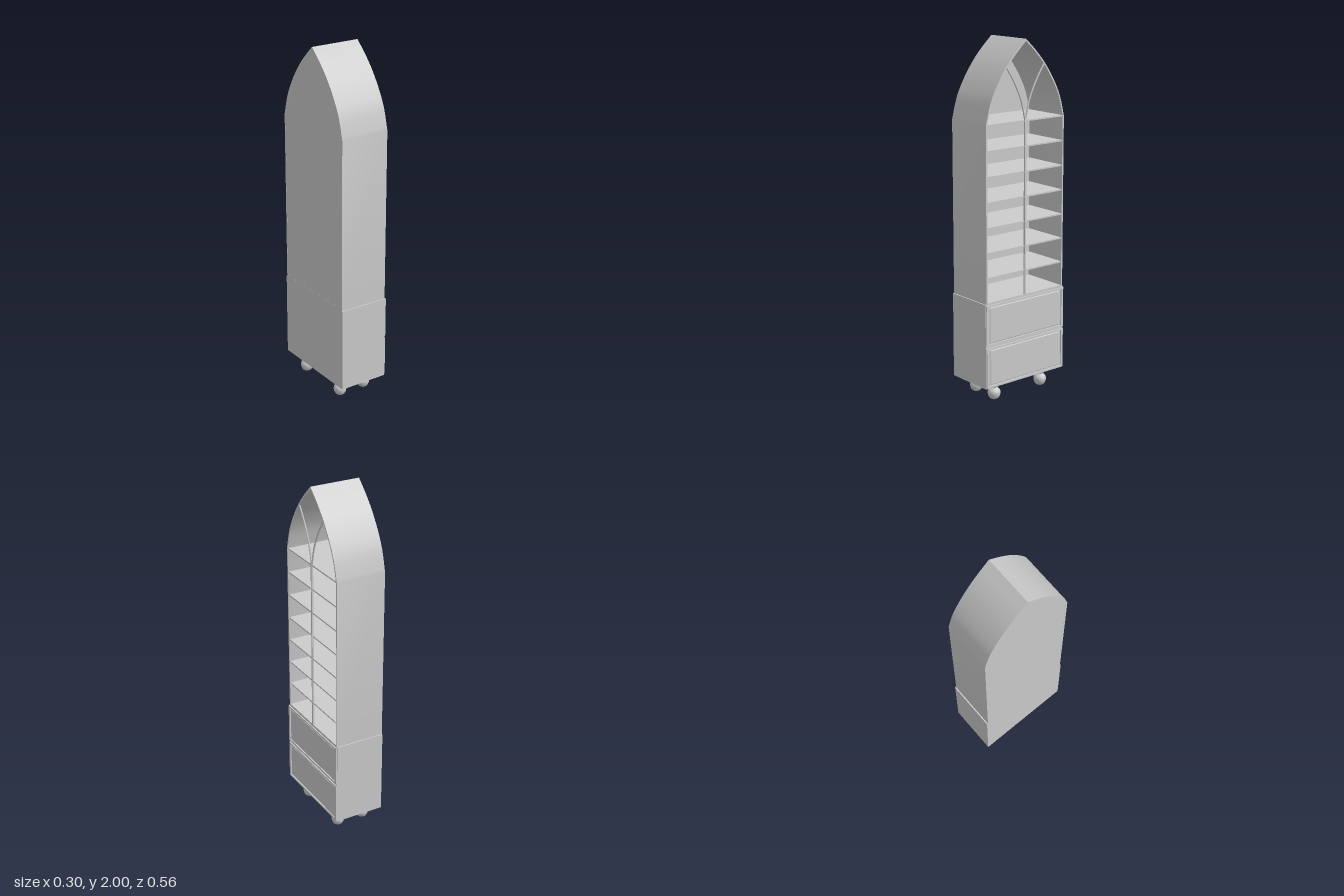
import * as THREE from 'three';
import { toCreasedNormals } from 'three/addons/utils/BufferGeometryUtils.js';

const BACK = -0.15, FRONT = 0.14, BASE_TOP = 0.585, SPRING = 1.565;

// Half of the pointed arch, from the springing line to the apex
const archPoints = [[0.275, SPRING], [0.243, 1.68], [0.195, 1.775], [0.133, 1.865], [0.07, 1.935], [0, 2]]
  .map(([z, y]) => new THREE.Vector2(z, y));
const arch = new THREE.SplineCurve(archPoints).getPoints(20);

// Arched outline, inset by t on every side
function outline(t, Type = THREE.Shape) {
  const k = (0.275 - t) / 0.275;
  const side = arch.map(p => new THREE.Vector2(p.x * k, p.y - t * 1.3 * (p.y - SPRING) / 0.435));
  const mirrored = side.slice(0, -1).reverse().map(p => new THREE.Vector2(-p.x, p.y));
  return new Type([
    new THREE.Vector2(-0.275 + t, BASE_TOP + t),
    new THREE.Vector2(0.275 - t, BASE_TOP + t),
    ...side, ...mirrored,
  ]);
}

export function createModel() {
  const group = new THREE.Group();
  const material = new THREE.MeshStandardMaterial({ color: 0xcccccc });

  function add(name, geometry, x = 0, y = 0, z = 0, parent = group) {
    const mesh = new THREE.Mesh(geometry, material);
    mesh.name = name;
    mesh.position.set(x, y, z);
    parent.add(mesh);
    return mesh;
  }
  // Box given by its x, y and z ranges
  function box(name, x0, x1, y0, y1, z0, z1) {
    return add(name, new THREE.BoxGeometry(x1 - x0, y1 - y0, z1 - z0),
      (x0 + x1) / 2, (y0 + y1) / 2, (z0 + z1) / 2);
  }
  // Shape drawn in the z-y plane and extruded along x
  function slab(name, shape, x0, x1) {
    const g = new THREE.ExtrudeGeometry(shape, { depth: x1 - x0, bevelEnabled: false });
    g.rotateY(Math.PI / 2);
    return add(name, toCreasedNormals(g, 0.5), x0);
  }

  // Arched shell and back
  const shell = outline(0);
  shell.holes.push(outline(0.009, THREE.Path));
  slab('archedShell', shell, BACK, FRONT);
  slab('backPanel', outline(0.004), BACK + 0.0005, BACK + 0.01);

  // Shelves
  for (let i = 0; i < 7; i++) {
    const y = 0.73 + i * 0.1388;
    box('shelf', BACK + 0.008, FRONT - 0.004, y - 0.004, y + 0.004, -0.268, 0.268);
  }

  // Central upright and curved tracery
  box('centreUpright', FRONT - 0.01, FRONT, BASE_TOP, SPRING + 0.01, -0.005, 0.005);
  for (const s of [-1, 1]) {
    const path = new THREE.CatmullRomCurve3(
      archPoints.slice(0, 4).map(p => new THREE.Vector3(FRONT - 0.005, p.y - 0.003, s * (0.275 - p.x) * 0.93)));
    add('traceryBar', new THREE.TubeGeometry(path, 16, 0.005, 6));
  }

  // Base cabinet
  box('baseCabinet', BACK, FRONT, 0.1, BASE_TOP, -0.282, 0.282);

  // Drawer fronts: raised border with a sloping inner edge around a flat panel
  for (const [y0, y1] of [[0.105, 0.335], [0.347, 0.58]]) {
    const w = 0.278, cy = (y0 + y1) / 2, h = (y1 - y0) / 2;
    const rect = (Type, a, b) => new Type([[-a, cy - b], [a, cy - b], [a, cy + b], [-a, cy + b]]
      .map(p => new THREE.Vector2(...p)));
    const border = rect(THREE.Shape, w, h);
    border.holes.push(rect(THREE.Path, w - 0.014, h - 0.01));
    slab('drawerBorder', border, FRONT - 0.002, 0.147);
    // Four-sided frustum as the raised centre panel
    const panel = new THREE.CylinderGeometry(0.96, 1, 0.005, 4).rotateY(Math.PI / 4).rotateZ(-Math.PI / 2).toNonIndexed();
    panel.scale(1, (h - 0.014) * Math.SQRT2, (w - 0.02) * Math.SQRT2);
    panel.computeVertexNormals();
    add('drawerPanel', panel, FRONT + 0.0015, cy, 0);
  }
  // Slim pull at the top of the lower drawer
  box('drawerPull', FRONT, 0.148, 0.323, 0.328, -0.08, 0.085);

  // Turned bun feet under square plates
  const footProfile = [[0, 0], [0.018, 0.001], [0.027, 0.008], [0.034, 0.022], [0.037, 0.038], [0.034, 0.052],
    [0.024, 0.062], [0.017, 0.066], [0.017, 0.072], [0.026, 0.075], [0.028, 0.08], [0.026, 0.086]]
    .map(p => new THREE.Vector2(...p));
  for (const x of [-0.088, 0.072]) for (const z of [-0.17, 0.17]) {
    const foot = new THREE.Group();
    foot.name = 'foot';
    foot.position.set(x, 0, z);
    group.add(foot);
    add('footBun', new THREE.LatheGeometry(footProfile, 24), 0, 0, 0, foot);
    add('footPlate', new THREE.BoxGeometry(0.084, 0.01, 0.096), 0, 0.096, 0, foot);
    add('footCollar', new THREE.BoxGeometry(0.062, 0.01, 0.07), 0, 0.087, 0, foot);
  }
  return group;
}
